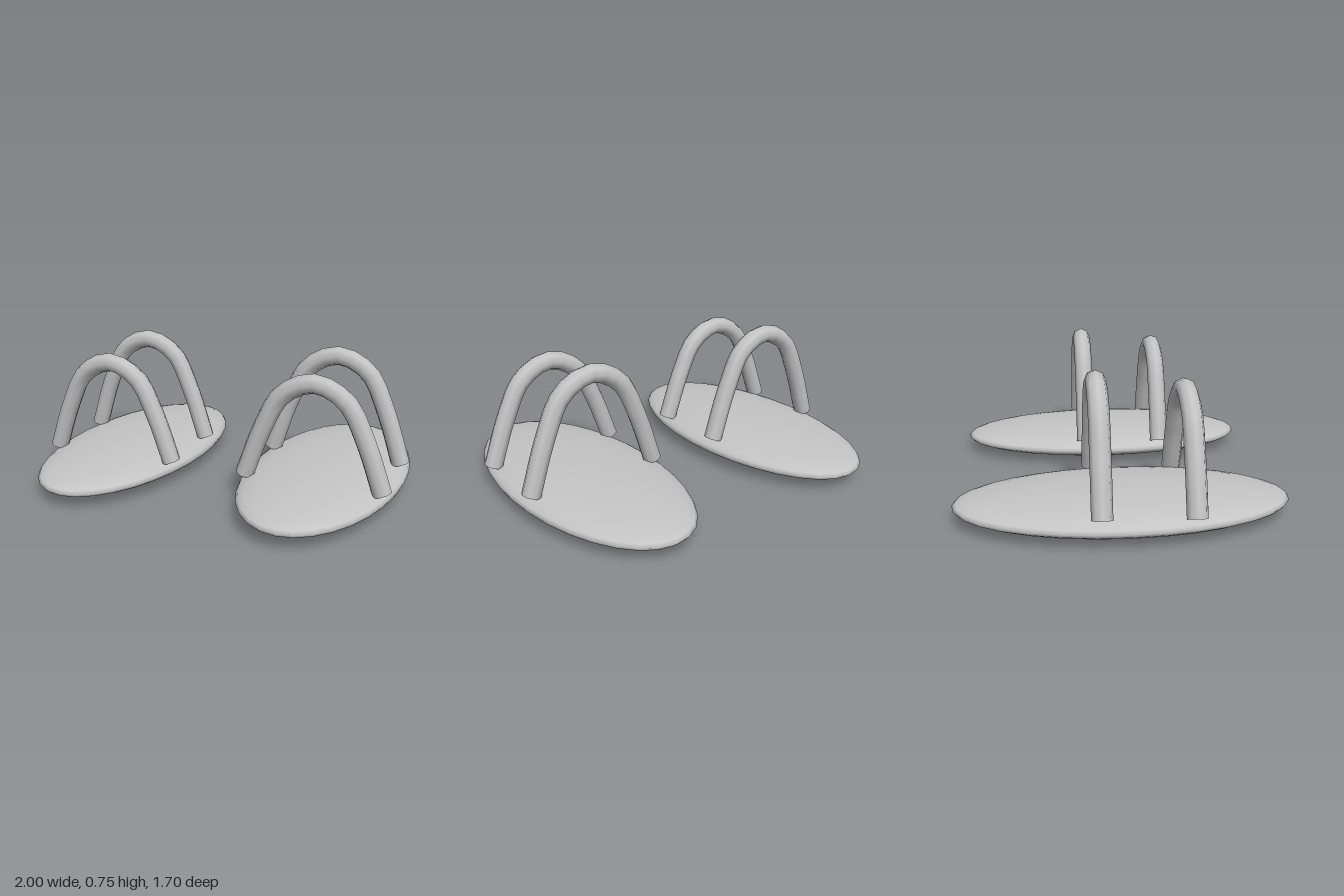
import * as THREE from 'three';

const grey = new THREE.MeshStandardMaterial({ color: 0xc4c4c4, side: THREE.DoubleSide });
grey.name = 'grey';

// Arched tube across the sole, from edge to edge; lift raises the arch
function makeStrap(name, z, lift) {
  const half = [[0.366, 0.13 + lift * 0.2], [0.27, 0.39 + lift * 0.7], [0.165, 0.58 + lift]];
  const points = [
    ...half.map(([x, y]) => new THREE.Vector3(-x, y, z)),
    new THREE.Vector3(0, 0.655 + lift, z),
    ...half.slice().reverse().map(([x, y]) => new THREE.Vector3(x, y, z)),
  ];
  const curve = new THREE.CatmullRomCurve3(points);
  const strap = new THREE.Mesh(new THREE.TubeGeometry(curve, 20, 0.051, 8, false), grey);
  strap.name = name;
  return strap;
}

// One sandal: flattened oval sole with two straps
function makeSandal(name, x) {
  const sandal = new THREE.Group();
  sandal.name = name;
  sandal.position.x = x;

  const soleShape = new THREE.SphereGeometry(1, 32, 16);
  soleShape.scale(0.418, 0.086, 0.848);
  const sole = new THREE.Mesh(soleShape, grey);
  sole.name = 'sole';
  sole.position.y = 0.087;

  sandal.add(sole, makeStrap('frontStrap', 0.307, 0), makeStrap('rearStrap', -0.133, 0.05));
  return sandal;
}

export function createModel() {
  const model = new THREE.Group();
  model.name = 'sandals';
  model.add(makeSandal('leftSandal', 0.582), makeSandal('rightSandal', -0.582));
  return model;
}
